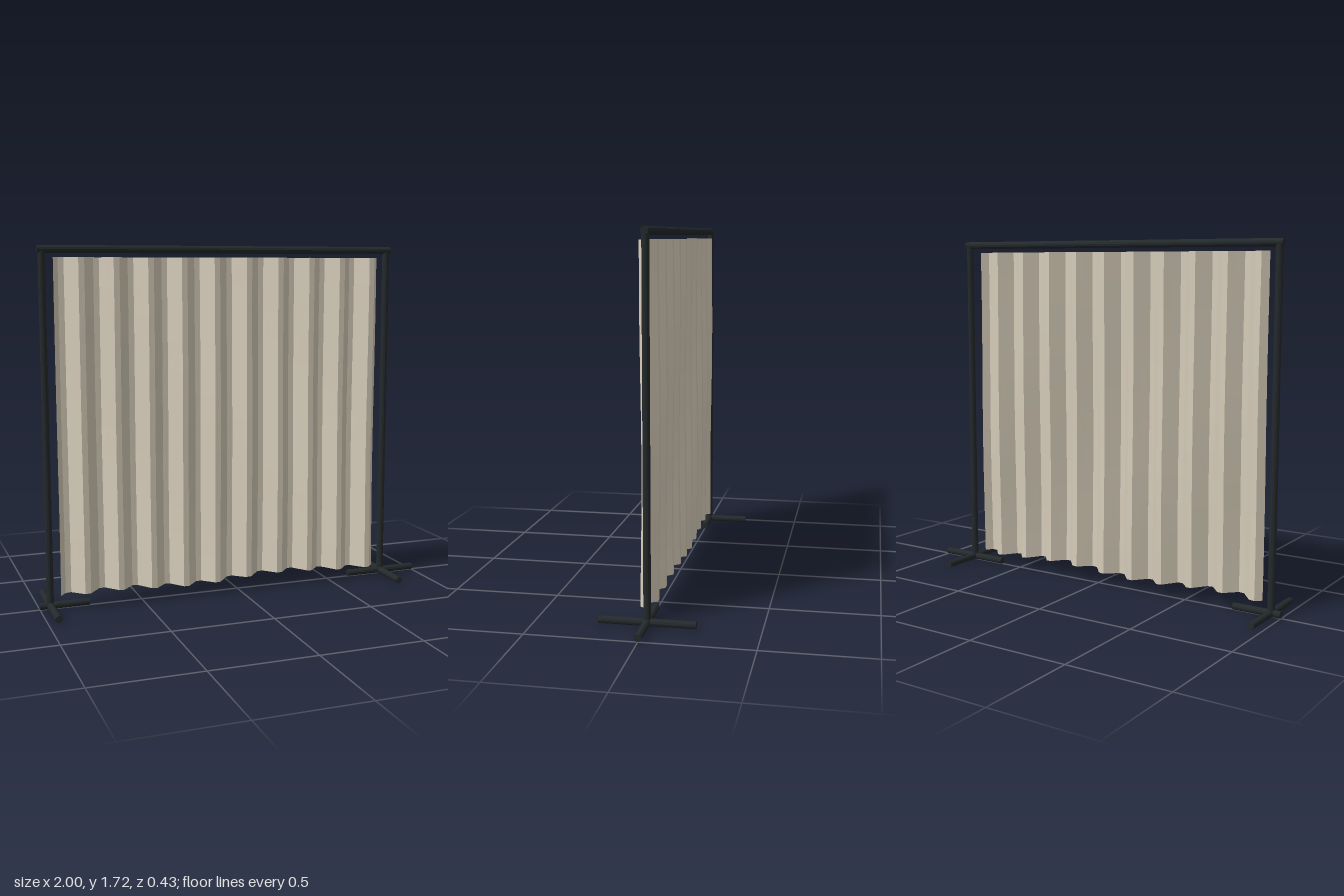
import * as THREE from 'three';

export function createModel() {
  const model = new THREE.Group();
  model.name = 'curtainDivider';

  const metal = new THREE.MeshStandardMaterial({ color: 0x24292b, flatShading: true });
  metal.name = 'dark metal';
  const fabric = new THREE.MeshStandardMaterial({ color: 0xd8cebb, flatShading: true, side: THREE.DoubleSide });
  fabric.name = 'beige fabric';

  const R = 0.017;

  // Straight tube between two points
  function tube(name, from, to, radius = R) {
    const a = new THREE.Vector3(...from);
    const b = new THREE.Vector3(...to);
    const dir = b.clone().sub(a);
    const mesh = new THREE.Mesh(new THREE.CylinderGeometry(radius, radius, dir.length(), 12), metal);
    mesh.quaternion.setFromUnitVectors(new THREE.Vector3(0, 1, 0), dir.normalize());
    mesh.position.copy(a).add(b).multiplyScalar(0.5);
    mesh.name = name;
    model.add(mesh);
  }

  // Posts with crossed feet
  const footY = 0.022;
  const posts = [
    { side: 'right', x: -0.95, x0: -1, x1: -0.76 },
    { side: 'left', x: 0.81, x0: 0.62, x1: 1 },
  ];
  for (const { side, x, x0, x1 } of posts) {
    tube(`${side}Post`, [x, 0.006, 0], [x, 1.7, 0]);
    tube(`${side}FootAlong`, [x0, footY, 0], [x1, footY, 0]);
    tube(`${side}FootAcross`, [x, footY, -0.217], [x, footY, 0.217]);
  }

  // Top rail
  tube('topRail', [-0.97, 1.702, 0], [0.83, 1.702, 0], 0.018);

  // Pleated curtain: ten folds of six facets, a slight sway and a wavy hem
  const left = -0.9, width = 1.65, top = 1.665, folds = 10;
  const cloth = new THREE.PlaneGeometry(width, 1, folds * 6, 12);
  const p = cloth.attributes.position;
  for (let i = 0; i < p.count; i++) {
    const u = p.getX(i) + width / 2;
    const v = p.getY(i) + 0.5;
    const hem = 0.068 + 0.01 * Math.sin(7 * u);
    const y = hem + (top - hem) * v;
    const pleat = -0.037 * Math.sin((u / width) * folds * Math.PI * 2);
    const sway = 0.005 * Math.sin(4 * y + 5 * u) * (1 - v * 0.5);
    p.setXYZ(i, left + u, y, 0.013 + pleat + sway);
  }
  cloth.computeVertexNormals();
  const curtain = new THREE.Mesh(cloth, fabric);
  curtain.name = 'curtain';
  model.add(curtain);

  return model;
}
